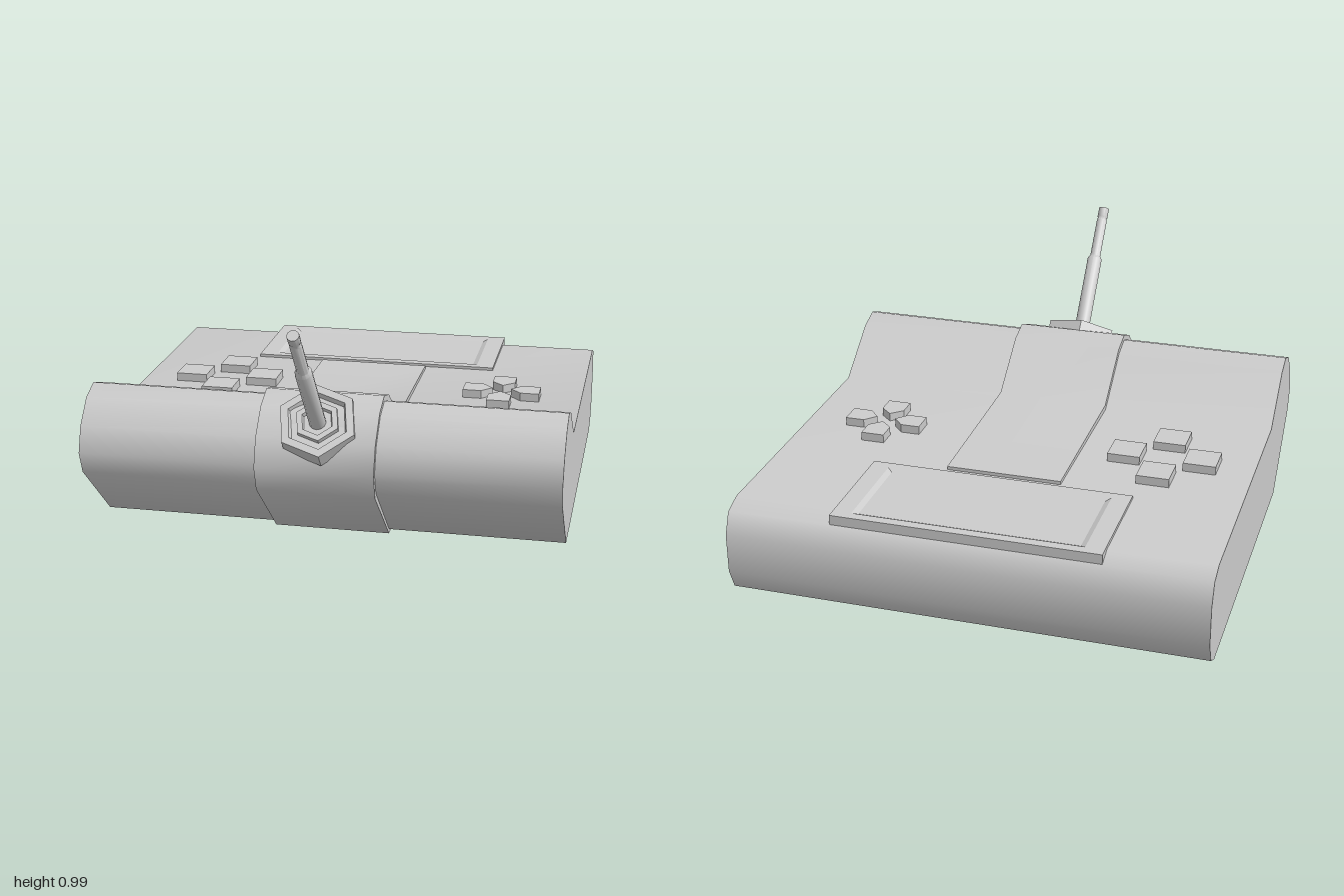
import * as THREE from 'three';
import { toCreasedNormals } from 'three/addons/utils/BufferGeometryUtils.js';

const material = new THREE.MeshStandardMaterial({ color: 0xcccccc });
const flatMaterial = new THREE.MeshStandardMaterial({ color: 0xcccccc, flatShading: true });

function addMesh(parent, name, geometry, mat = material) {
  const mesh = new THREE.Mesh(geometry, mat);
  mesh.name = name;
  parent.add(mesh);
  return mesh;
}

const shapeOf = (points) => new THREE.Shape(points.map(([x, y]) => new THREE.Vector2(x, y)));

// Side profile of (z, y) points, extruded across x from -halfWidth to halfWidth
function sideExtrude(profile, halfWidth) {
  const g = new THREE.ExtrudeGeometry(shapeOf(profile), { depth: 2 * halfWidth, bevelEnabled: false });
  g.rotateY(-Math.PI / 2);
  g.translate(halfWidth, 0, 0);
  return toCreasedNormals(g, 0.9);
}

// Plan outline extruded upward from y0 to y1; outline y points to the back
function upExtrude(outline, y0, y1) {
  const g = new THREE.ExtrudeGeometry(shapeOf(outline), { depth: y1 - y0, bevelEnabled: false });
  g.rotateX(-Math.PI / 2);
  g.translate(0, y0, 0);
  return g;
}

// Rectangular loops [halfX, halfZ, y] joined in order, the last one closed
function rectLoft(loops) {
  const corners = [[1, 1], [1, -1], [-1, -1], [-1, 1]];
  const positions = [];
  const index = [];
  loops.forEach(([hx, hz, y], i) => {
    corners.forEach(([sx, sz], k) => {
      positions.push(sx * hx, y, sz * hz);
      if (i === 0) return;
      const n = (k + 1) % 4, lo = (i - 1) * 4, hi = i * 4;
      index.push(lo + k, lo + n, hi + n, lo + k, hi + n, hi + k);
    });
  });
  const last = (loops.length - 1) * 4;
  index.push(last, last + 1, last + 2, last, last + 2, last + 3);
  const g = new THREE.BufferGeometry();
  g.setAttribute('position', new THREE.Float32BufferAttribute(positions, 3));
  g.setIndex(index);
  const flat = g.toNonIndexed();
  flat.computeVertexNormals();
  return flat;
}

const lathe = (points, sides, start = 0) =>
  new THREE.LatheGeometry(points.map(([r, y]) => new THREE.Vector2(r, y)), sides, start);

export function createModel() {
  const model = new THREE.Group();
  model.name = 'handheldController';

  // Main casing with raised front lip
  addMesh(model, 'casing', sideExtrude([
    [0.368, 0.035], [-0.9, 0.03], [-0.965, 0.064], [-1, 0.145], [-1, 0.295],
    [-0.966, 0.375], [-0.893, 0.402], [0.187, 0.407], [0.4, 0.562], [0.486, 0.589],
    [0.57, 0.557], [0.647, 0.47], [0.678, 0.375], [0.647, 0.29],
  ], 0.89));

  // Band wrapped round the middle of the casing
  addMesh(model, 'centreBand', sideExtrude([
    [0.37, 0.018], [-0.485, 0.0], [-0.485, 0.417], [0.18, 0.428], [0.392, 0.583],
    [0.486, 0.61], [0.58, 0.573], [0.665, 0.48], [0.698, 0.375], [0.667, 0.28],
  ], 0.22));

  // Screen with a bevelled recess
  const screen = addMesh(model, 'screen', rectLoft([
    [0.5, 0.222, 0.37], [0.5, 0.222, 0.415], [0.43, 0.185, 0.415], [0.41, 0.168, 0.406],
  ]));
  screen.position.z = -0.737;

  // Two button clusters, each a button repeated round a centre
  const square = [[-0.0625, 0.083], [0.0625, 0.083], [0.0625, 0.208], [-0.0625, 0.208]];
  const pointed = [[0, 0.037], [0.045, 0.078], [0.045, 0.152], [-0.045, 0.152], [-0.045, 0.078]];
  const clusters = [['rightButton', square, -0.545], ['leftButton', pointed, 0.575]];
  for (const [name, outline, x] of clusters) {
    const geometry = upExtrude(outline, 0.39, 0.438);
    for (let i = 0; i < 4; i++) {
      const button = addMesh(model, name, geometry);
      button.position.set(x, 0, -0.19);
      button.rotation.y = (i * Math.PI) / 2;
    }
  }

  // Tilted aerial on a hexagonal socket
  const aerial = new THREE.Group();
  aerial.name = 'aerial';
  aerial.position.set(0, 0.549, 0.627);
  aerial.rotation.x = 0.705;
  model.add(aerial);

  addMesh(aerial, 'hexSocket', lathe([
    [0, -0.065], [0.152, -0.065], [0.152, 0], [0.12, 0], [0.112, -0.02], [0.085, -0.02],
    [0.085, 0], [0.062, 0], [0.057, -0.015], [0, -0.015],
  ], 6, THREE.MathUtils.degToRad(11)), flatMaterial);

  addMesh(aerial, 'aerialRod', toCreasedNormals(lathe([
    [0.031, -0.02], [0.031, 0.325], [0.022, 0.338], [0.022, 0.5], [0.02, 0.505],
    [0.02, 0.515], [0.022, 0.52], [0.022, 0.557], [0, 0.557],
  ], 12), 0.7));

  return model;
}
